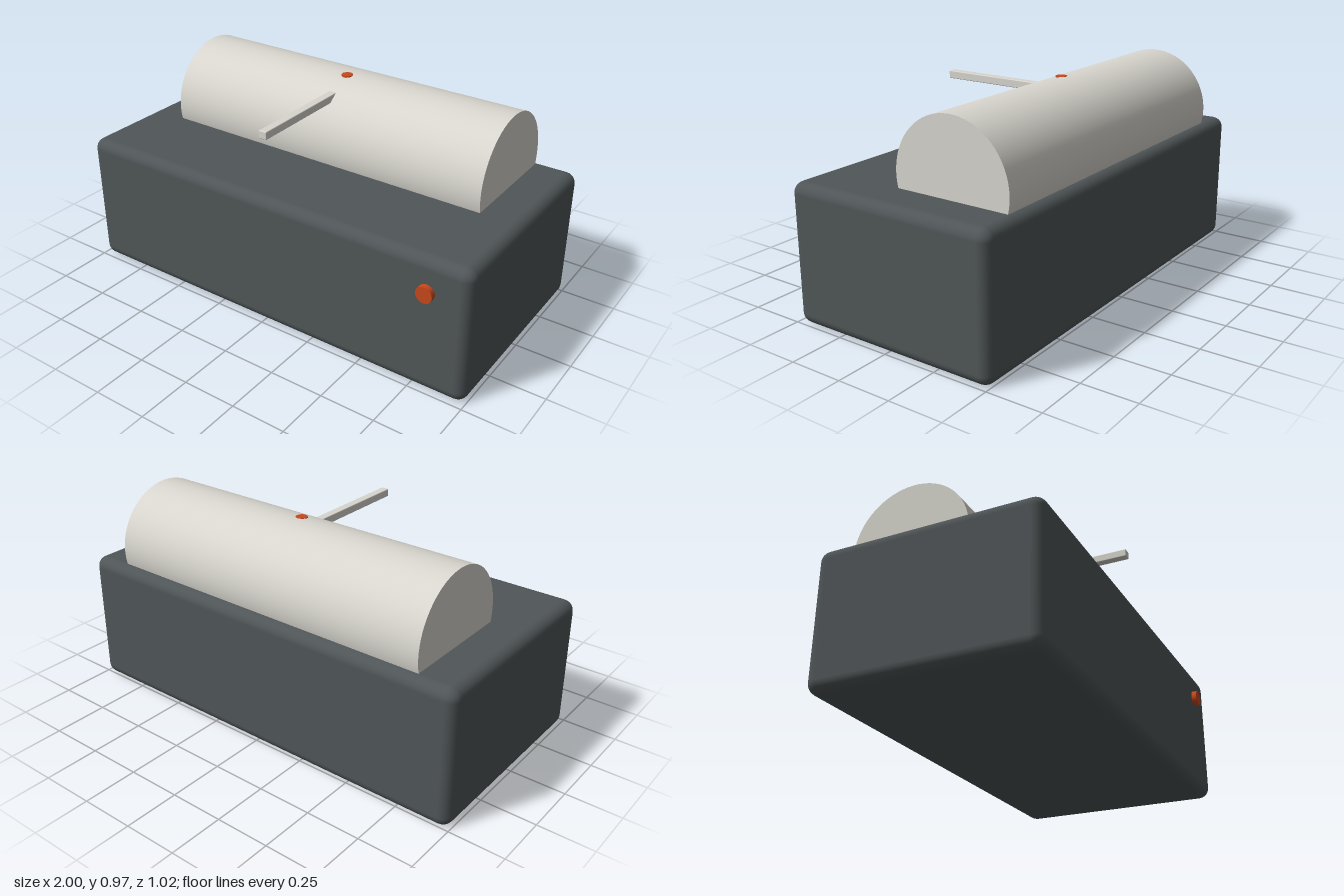
import * as THREE from 'three';
import { RoundedBoxGeometry } from 'three/addons/geometries/RoundedBoxGeometry.js';

const flat = (name, color) => {
  const m = new THREE.MeshStandardMaterial({ color });
  m.name = name;
  return m;
};

export function createModel() {
  const model = new THREE.Group();
  model.name = 'rollerDevice';

  const charcoal = flat('charcoal', 0x505658);
  const ivory = flat('ivory', 0xd8d6ce);
  const orange = flat('orange', 0xc8481c);

  const add = (name, geometry, material, x, y, z) => {
    const mesh = new THREE.Mesh(geometry, material);
    mesh.name = name;
    mesh.position.set(x, y, z);
    model.add(mesh);
    return mesh;
  };

  // Soft-edged base block
  add('base', new RoundedBoxGeometry(2, 0.626, 1, 3, 0.05), charcoal, 0, 0.313, -0.012);

  // Long roller sunk into the top of the base
  const roller = add('roller', new THREE.CylinderGeometry(0.275, 0.275, 1.62, 64), ivory, 0, 0.69, -0.2);
  roller.rotation.z = Math.PI / 2;

  // Thin lever pointing forward from the roller
  add('lever', new RoundedBoxGeometry(0.038, 0.036, 0.6, 2, 0.004), ivory, 0, 0.903, 0.15);

  // Index dot on the crown of the roller
  add('indexDot', new THREE.CylinderGeometry(0.026, 0.026, 0.016, 24), orange, 0, 0.9575, -0.167);

  // Round button on the front face
  const button = add('frontButton', new THREE.CylinderGeometry(0.037, 0.037, 0.05, 24), orange, 0.81, 0.477, 0.487);
  button.rotation.x = Math.PI / 2;

  return model;
}
